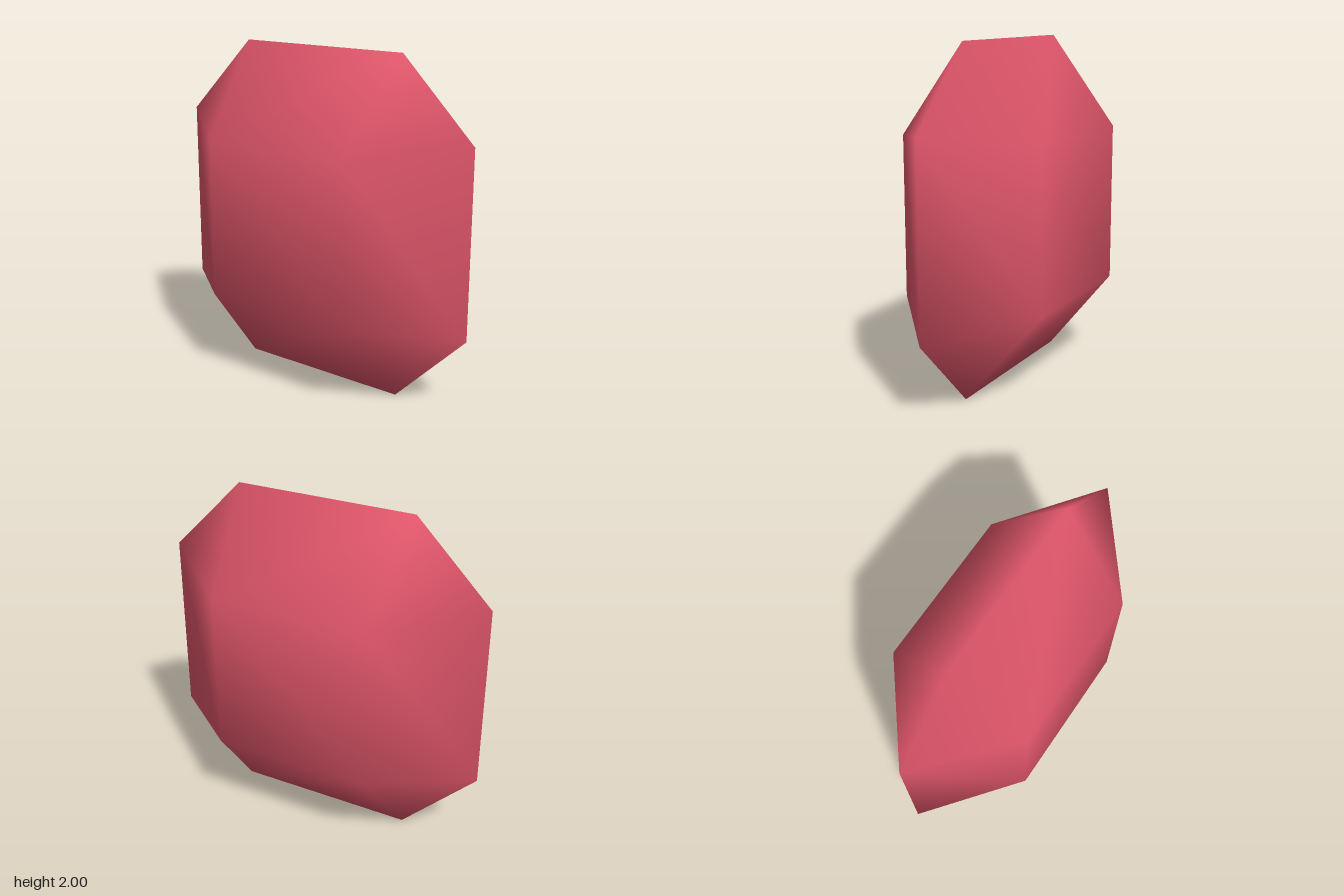
import * as THREE from 'three';

const GIRDLE = 0.545; // half length of the long outer edges
const TABLE = 0.47;   // half width of the flat square faces
const DEPTH = 0.44;   // half thickness

export function createModel() {
  const positions = [];
  const indices = [];

  const add = (x, y, z) => positions.push(x, y + 1, z) / 3 - 1;
  const turn = (x, y, k) => {
    for (let i = 0; i < k; i++) [x, y] = [-y, x];
    return [x, y];
  };

  // Eight-cornered outer edge, and a square table on each side
  const a = [], b = [], front = [], back = [];
  for (let k = 0; k < 4; k++) {
    a.push(add(...turn(GIRDLE, 1, k), 0));
    b.push(add(...turn(-GIRDLE, 1, k), 0));
    const [x, y] = turn(-TABLE, TABLE, k);
    front.push(add(x, y, DEPTH));
    back.push(add(-x, y, -DEPTH));
  }

  // One half: four sloping sides, four corner facets and the table
  const addHalf = (a, b, s) => {
    for (let k = 0; k < 4; k++) {
      indices.push(a[k], b[k], s[k]);
      indices.push(a[k], s[k], s[(k + 3) % 4]);
      indices.push(b[k], a[(k + 1) % 4], s[k]);
    }
    indices.push(s[0], s[1], s[2], s[0], s[2], s[3]);
  };
  addHalf(a, b, front);
  // The back is the front turned half way round the vertical axis
  const mirror = (ring) => ring.map((_, k) => ring[(4 - k) % 4]);
  addHalf(mirror(b), mirror(a), back);

  // Shared corners give the soft, smooth shading
  const geometry = new THREE.BufferGeometry();
  geometry.setAttribute('position', new THREE.Float32BufferAttribute(positions, 3));
  geometry.setIndex(indices);
  geometry.computeVertexNormals();

  const gemRed = new THREE.MeshStandardMaterial({ color: 0xe0566a });
  gemRed.name = 'gemRed';

  const gem = new THREE.Mesh(geometry, gemRed);
  gem.name = 'gem';

  const group = new THREE.Group();
  group.name = 'cutGem';
  group.add(gem);
  return group;
}
